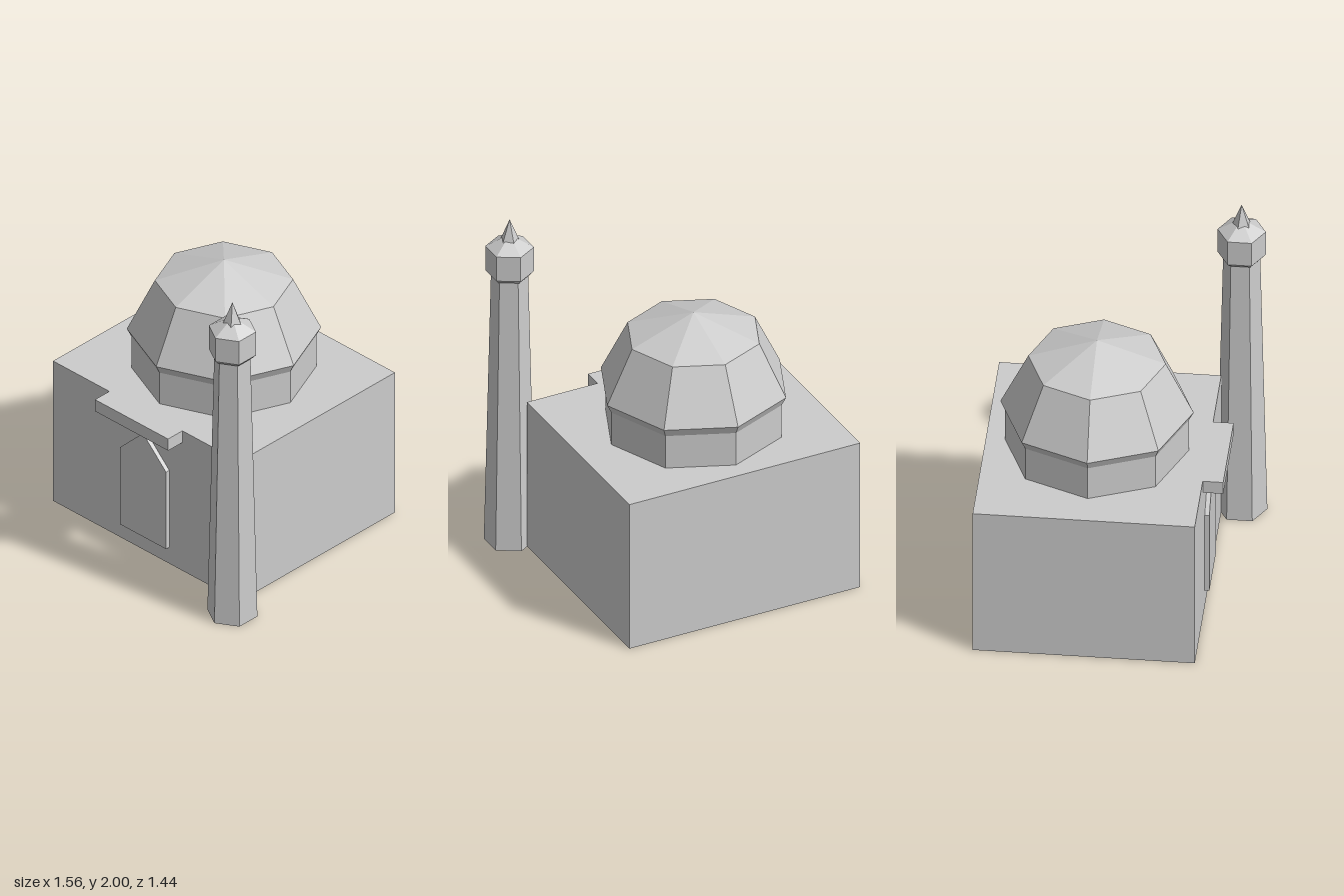
import * as THREE from 'three';

const material = new THREE.MeshStandardMaterial({ color: 0xcccccc, flatShading: true });

function addMesh(parent, name, geometry, x, y, z) {
  const mesh = new THREE.Mesh(geometry, material);
  mesh.name = name;
  mesh.position.set(x, y, z);
  parent.add(mesh);
  return mesh;
}

// Box given by its lower and upper bounds
function addBox(parent, name, [x0, x1], [y0, y1], [z0, z1]) {
  const geometry = new THREE.BoxGeometry(x1 - x0, y1 - y0, z1 - z0);
  return addMesh(parent, name, geometry, (x0 + x1) / 2, (y0 + y1) / 2, (z0 + z1) / 2);
}

// Faceted solid of revolution from [radius, height] pairs
function addFaceted(parent, name, profile, sides, x, z) {
  const points = profile.map(([r, y]) => new THREE.Vector2(r, y));
  const geometry = new THREE.LatheGeometry(points, sides).toNonIndexed();
  geometry.computeVertexNormals();
  return addMesh(parent, name, geometry, x, 0, z);
}

export function createModel() {
  const model = new THREE.Group();
  model.name = 'domedBuilding';
  const cx = -0.085, cz = -0.122, frontZ = 0.475;

  // Main hall and the slab over its door
  addBox(model, 'hall', [-0.78, 0.61], [0, 0.9], [-0.72, frontZ]);
  addBox(model, 'doorCanopy', [-0.36, 0.185], [0.825, 0.9], [frontZ, 0.585]);

  // Raised door panel with a pointed top
  const outline = [[-0.172, 0.105], [0.172, 0.105], [0.172, 0.6], [0, 0.77], [-0.172, 0.6]];
  const doorShape = new THREE.Shape(outline.map(([x, y]) => new THREE.Vector2(x, y)));
  const doorGeometry = new THREE.ExtrudeGeometry(doorShape, { depth: 0.025, bevelEnabled: false });
  addMesh(model, 'door', doorGeometry, cx, 0, frontZ);

  // Eight-sided drum and dome
  addFaceted(model, 'drum', [[0.495, 0.9], [0.495, 1.1]], 8, cx, cz);
  addFaceted(model, 'dome', [[0.495, 1.1], [0.52, 1.15], [0.37, 1.46], [0, 1.59]], 8, cx, cz);

  // Six-sided tapering tower with gallery, roof and small five-sided spire
  const tower = new THREE.Group();
  tower.name = 'tower';
  tower.position.set(0.66, 0, 0.58);
  model.add(tower);
  addFaceted(tower, 'towerShaft', [[0, 0], [0.138, 0], [0.1, 1.66]], 6, 0, 0);
  addFaceted(tower, 'towerGallery', [[0, 1.66], [0.112, 1.66], [0.13, 1.68], [0.13, 1.83]], 6, 0, 0);
  addFaceted(tower, 'towerRoof', [[0.13, 1.83], [0, 1.905]], 6, 0, 0);
  const spire = addFaceted(tower, 'towerSpire', [[0, 1.865], [0.054, 1.865], [0, 2]], 5, 0, 0);
  spire.rotation.y = Math.PI;

  return model;
}
